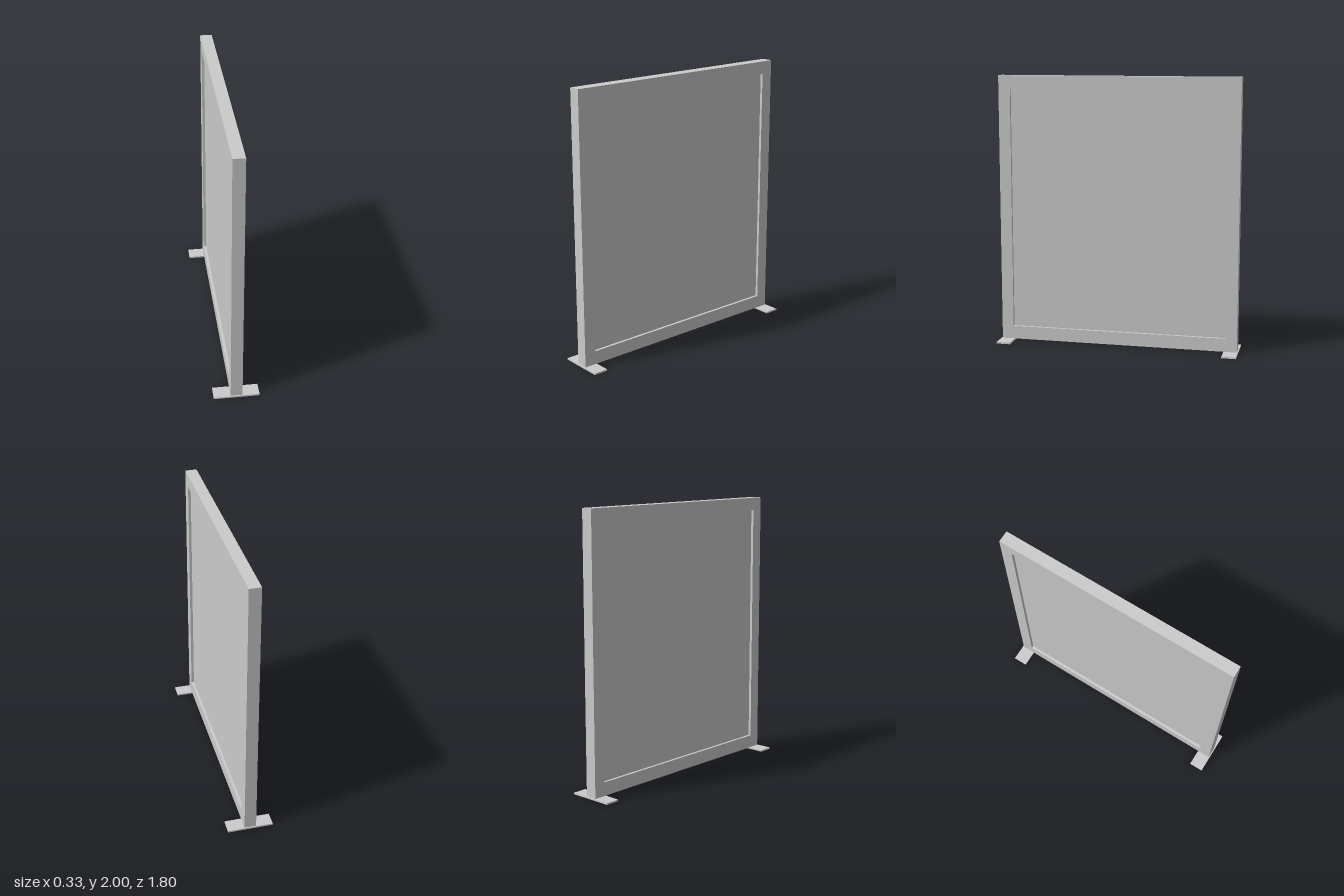
import * as THREE from 'three';

export function createModel() {
  const group = new THREE.Group();
  const material = new THREE.MeshStandardMaterial({ color: 0xcccccc });
  const add = (name, geometry, x, y, z) => {
    const mesh = new THREE.Mesh(geometry, material);
    mesh.name = name;
    mesh.position.set(x, y, z);
    group.add(mesh);
    return mesh;
  };

  const footHeight = 0.012, top = 2, halfWidth = 0.893, thickness = 0.086;
  const openHalf = 0.805, openBottom = 0.11, openTop = 1.905;

  // Rectangular frame with a window, extruded through its thickness
  const outline = new THREE.Shape([
    new THREE.Vector2(-halfWidth, footHeight), new THREE.Vector2(halfWidth, footHeight),
    new THREE.Vector2(halfWidth, top), new THREE.Vector2(-halfWidth, top),
  ]);
  outline.holes.push(new THREE.Path([
    new THREE.Vector2(-openHalf, openBottom), new THREE.Vector2(-openHalf, openTop),
    new THREE.Vector2(openHalf, openTop), new THREE.Vector2(openHalf, openBottom),
  ]));
  const frame = new THREE.ExtrudeGeometry(outline, { depth: thickness, bevelEnabled: false });
  frame.translate(0, 0, -thickness / 2).rotateY(Math.PI / 2);
  add('frame', frame, 0, 0, 0);

  // Infill panel, recessed on both faces
  add('panel', new THREE.BoxGeometry(0.046, openTop - openBottom, openHalf * 2),
    0, (openTop + openBottom) / 2, 0);

  // Flat floor plates under both ends
  for (const [name, side] of [['frontFoot', 1], ['backFoot', -1]]) {
    add(name, new THREE.BoxGeometry(0.332, footHeight, 0.106), 0, footHeight / 2, side * 0.848);
  }
  return group;
}
